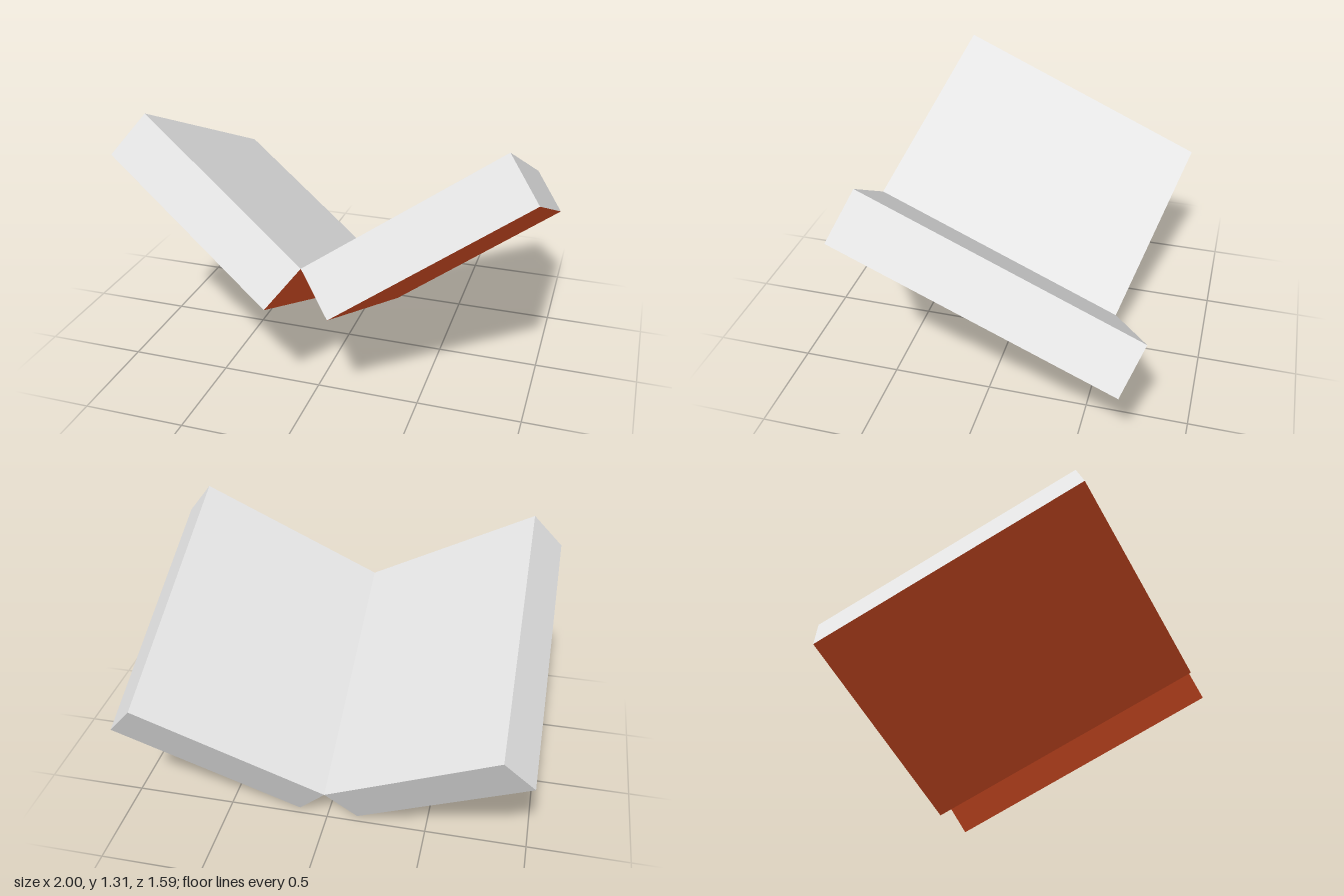
import * as THREE from 'three';

const WIDTH = 1.046, THICKNESS = 0.2565, DEPTH = 1.381;
const OPENING = THREE.MathUtils.degToRad(35.6); // rise of each half from the hinge
const TILT = THREE.MathUtils.degToRad(-24.1);   // front end lifted

export function createModel() {
  const paper = new THREE.MeshStandardMaterial({ color: 0xe7e7e7 });
  paper.name = 'paper';
  const cover = new THREE.MeshStandardMaterial({ color: 0xe75427 });
  cover.name = 'coverRed';

  const model = new THREE.Group();
  model.name = 'openBook';

  // Two mirrored blocks meeting along the hinge line
  const halves = new THREE.Group();
  halves.name = 'bookHalves';
  for (const side of [1, -1]) {
    const geometry = new THREE.BoxGeometry(WIDTH, THICKNESS, DEPTH);
    geometry.translate(side * WIDTH / 2, -THICKNESS / 2, 0);
    geometry.rotateZ(side * OPENING);
    // Cover on the underside and the spine side, paper elsewhere
    const materials = side > 0
      ? [paper, cover, paper, cover, paper, paper]
      : [cover, paper, paper, cover, paper, paper];
    const half = new THREE.Mesh(geometry, materials);
    half.name = side > 0 ? 'leftHalf' : 'rightHalf';
    halves.add(half);
  }

  // Tilt the whole book and rest its back edge on the ground
  halves.rotation.x = TILT;
  halves.position.set(0, 0.474, 0.08);
  model.add(halves);
  return model;
}
